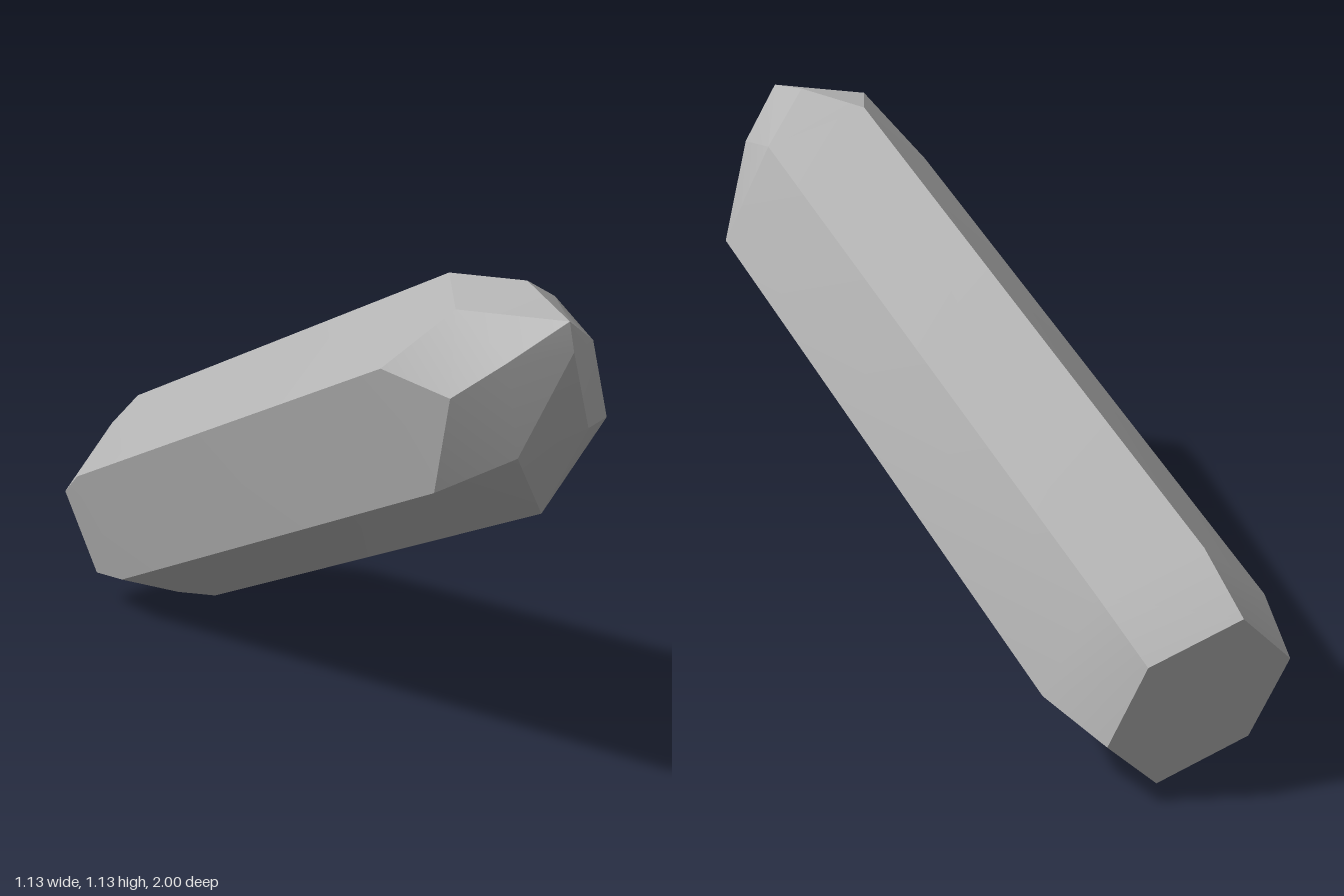
import * as THREE from 'three';
import { ConvexGeometry } from 'three/addons/geometries/ConvexGeometry.js';
import { toCreasedNormals } from 'three/addons/utils/BufferGeometryUtils.js';

const v = (x, y, z) => new THREE.Vector3(x, y, z);

// Six-sided ring from three corners, completed by point symmetry about a centre
const ring = (center, half) => [
  ...half,
  ...half.map((p) => center.clone().multiplyScalar(2).sub(p)),
];

export function createModel() {
  const group = new THREE.Group();
  group.name = 'crystal';
  const stone = new THREE.MeshStandardMaterial({ color: 0xb4b4b4 });
  stone.name = 'grey stone';

  // Hexagonal shaft: the upper ring is swept along the axis to the lower one
  const axis = v(0.61, -0.585, -1.44);
  const upper = ring(v(-0.29, 0.87, 0.71), [
    v(-0.31, 1.12, 0.60), v(-0.09, 1.05, 0.72), v(-0.06, 0.795, 0.84),
  ]);
  const lower = upper.map((p) => p.clone().add(axis));

  // Bevelled flat base
  const base = ring(v(0.378, 0.215, -0.89), [
    v(0.36, 0.43, -0.985), v(0.55, 0.355, -0.875), v(0.567, 0.15, -0.785),
  ]);

  // Faceted tip: a twisted ring closed by a small slanted ridge
  const shoulder = ring(v(-0.393, 0.96, 0.853), [
    v(-0.32, 1.13, 0.81), v(-0.22, 1.0, 0.91), v(-0.29, 0.83, 0.95),
  ]);
  const ridge = [v(-0.43, 1.085, 0.995), v(-0.42, 1.02, 1.0), v(-0.51, 1.0, 0.90)];

  const hull = new ConvexGeometry([...upper, ...lower, ...base, ...shoulder, ...ridge]);
  const body = new THREE.Mesh(toCreasedNormals(hull, 0.5), stone);
  body.name = 'crystalShard';
  group.add(body);
  return group;
}
